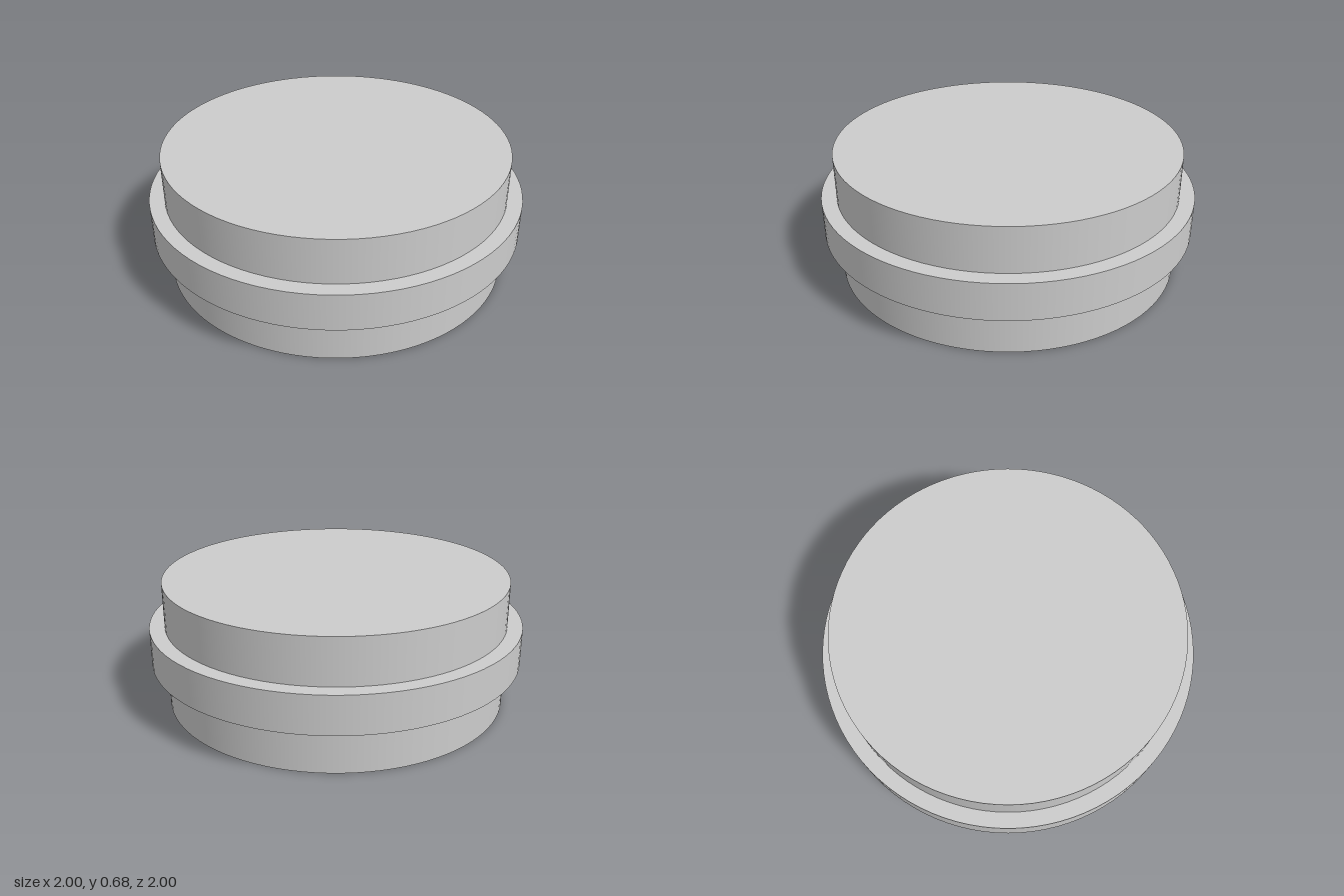
import * as THREE from 'three';

const SIDES = 96;

export function createModel() {
  const group = new THREE.Group();
  group.name = 'flangedDisc';
  const material = new THREE.MeshStandardMaterial({ color: 0xcccccc });

  // Upright disc spanning bottom to top
  const addDisc = (name, radius, bottom, top) => {
    const geometry = new THREE.CylinderGeometry(radius, radius, top - bottom, SIDES);
    const mesh = new THREE.Mesh(geometry, material);
    mesh.name = name;
    mesh.position.y = (bottom + top) / 2;
    group.add(mesh);
  };

  // Solid core with a wider band around its middle
  addDisc('body', 0.92, 0, 0.68);
  addDisc('middleFlange', 1, 0.24, 0.44);

  return group;
}
